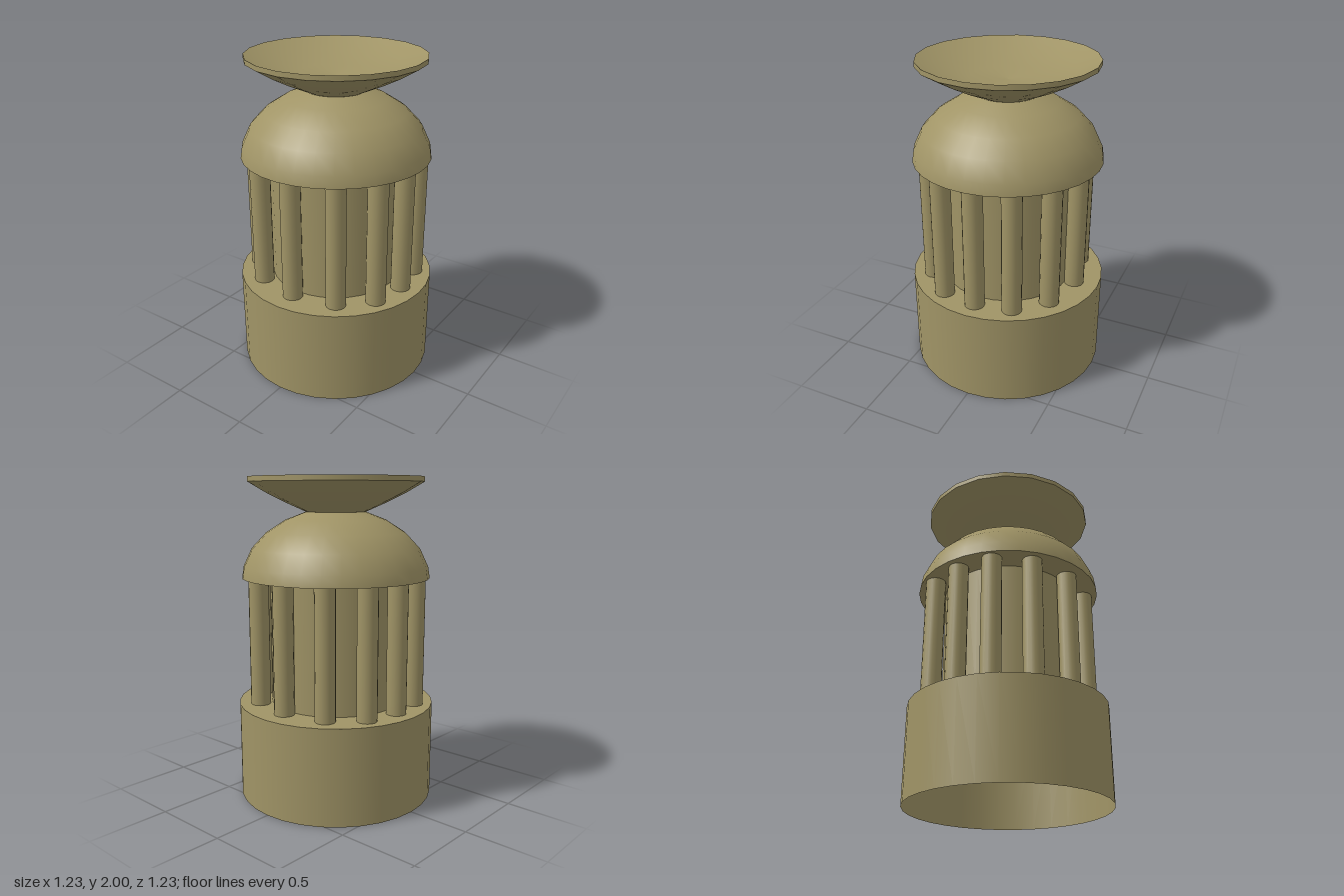
import * as THREE from 'three';

export function createModel() {
  const model = new THREE.Group();
  model.name = 'domedPillar';
  // Double sided because the base is an open, thin shell
  const stone = new THREE.MeshStandardMaterial({ color: 0xa09466, side: THREE.DoubleSide });
  stone.name = 'sandstone';

  // Each profile is revolved separately, so edges between them stay sharp
  function revolve(name, segments, ...profiles) {
    const group = new THREE.Group();
    group.name = name;
    for (const profile of profiles) {
      const points = profile.map(([r, y]) => new THREE.Vector2(r, y));
      const mesh = new THREE.Mesh(new THREE.LatheGeometry(points, segments), stone);
      mesh.name = name + 'Surface';
      group.add(mesh);
    }
    model.add(group);
  }

  // Hollow base, open underneath
  revolve('base', 32, [[0.617, 0], [0.617, 0.6]], [[0.617, 0.6], [0, 0.6]]);

  // Inner drum behind the columns
  revolve('drum', 32, [[0.41, 0.6], [0.41, 1.39]]);

  // Dome with a flat underside
  revolve('dome', 32,
    [[0, 1.39], [0.583, 1.39]],
    [[0.583, 1.39], [0.572, 1.46], [0.52, 1.57], [0.43, 1.665], [0.31, 1.742], [0.185, 1.79]]);

  // Shallow dish: outer bowl, rim band, hollow inside
  revolve('dish', 20,
    [[0, 1.79], [0.185, 1.79]],
    [[0.185, 1.79], [0.32, 1.85], [0.435, 1.908], [0.54, 1.97]],
    [[0.54, 1.97], [0.54, 2]],
    [[0.54, 2], [0.4, 1.935], [0.22, 1.888], [0, 1.87]]);

  // Twelve columns, mirrored over both axes
  const shaft = new THREE.CylinderGeometry(0.062, 0.062, 0.79, 16);
  const columns = new THREE.Group();
  columns.name = 'columns';
  for (const [x, z] of [[0, 0.462], [0.276, 0.4], [0.448, 0.228], [0.488, 0]]) {
    for (const sx of x ? [1, -1] : [1]) {
      for (const sz of z ? [1, -1] : [1]) {
        const column = new THREE.Mesh(shaft, stone);
        column.name = 'column';
        column.position.set(sx * x, 0.995, sz * z);
        columns.add(column);
      }
    }
  }
  model.add(columns);
  return model;
}
